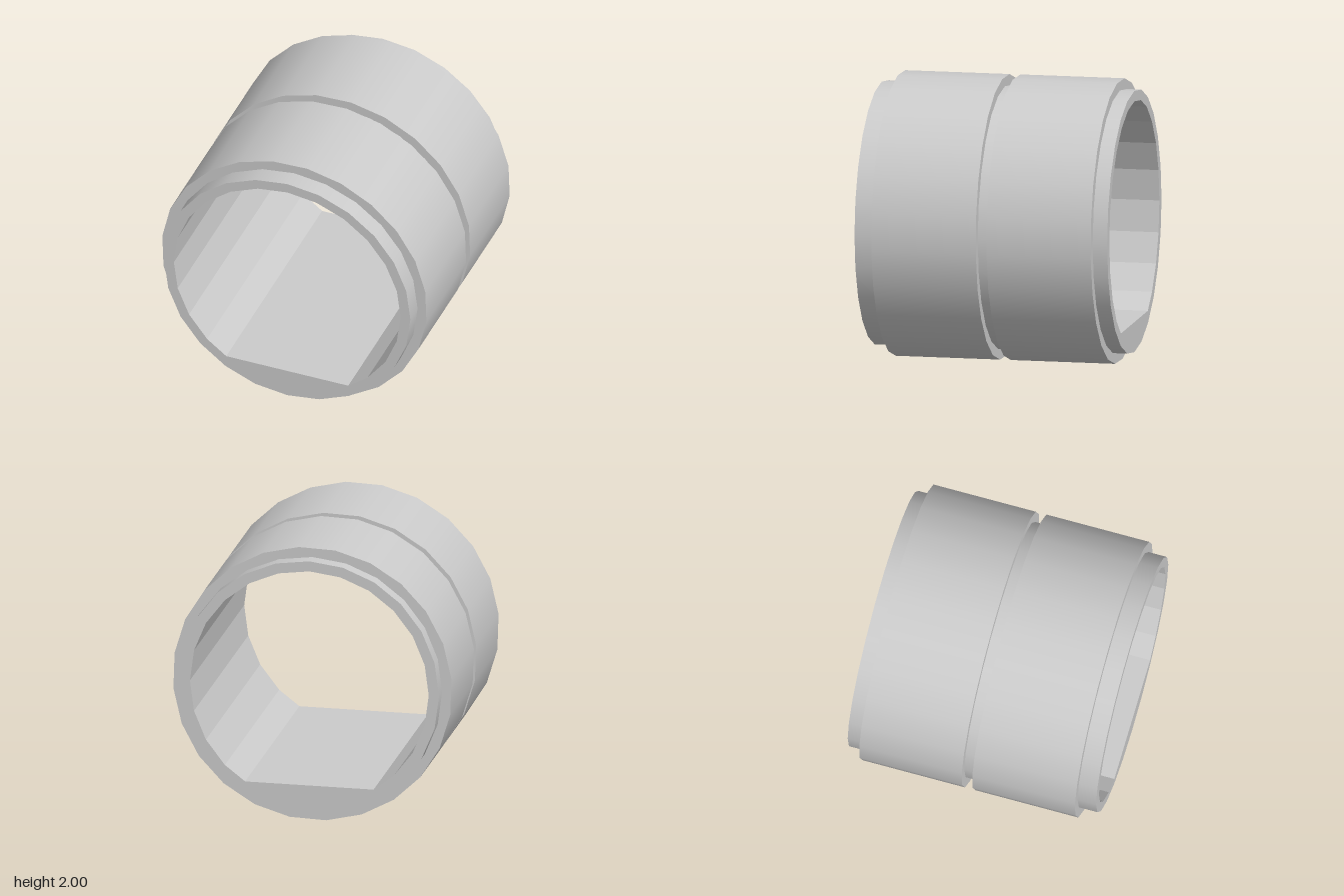
import * as THREE from 'three';

const SIDES = 24;
const CENTRE_Y = 1;
const CORE_R = 0.932;
const BORE_R = 0.858;
const BAND_R = 1.004;
const FLOOR_Y = -0.718; // flat floor of the bore, relative to the axis

// Corner points of a regular polygon, counter-clockwise, turned clockwise from the top by the offset.
function polygon(radius, offsetDeg = 0) {
  return Array.from({ length: SIDES }, (_, i) => {
    const a = (i / SIDES) * Math.PI * 2 - THREE.MathUtils.degToRad(offsetDeg);
    return new THREE.Vector2(-radius * Math.sin(a), radius * Math.cos(a));
  });
}

// Polygon with everything below a horizontal line cut away.
function cutBelow(points, y) {
  const out = [];
  points.forEach((p, i) => {
    const q = points[(i + 1) % points.length];
    if (p.y >= y) out.push(p);
    if ((p.y >= y) !== (q.y >= y)) out.push(p.clone().lerp(q, (y - p.y) / (q.y - p.y)));
  });
  return out;
}

// Extruded ring between z0 and z1: smooth outer wall, faceted bore, crisp end faces.
function ring(name, outer, inner, z0, z1, material) {
  const shape = new THREE.Shape(outer);
  shape.holes.push(new THREE.Path(inner));
  const geometry = new THREE.ExtrudeGeometry(shape, { depth: z1 - z0, bevelEnabled: false });
  const pos = geometry.attributes.position;
  const normal = geometry.attributes.normal;
  const radius = outer[0].length();
  for (let i = 0; i < pos.count; i++) {
    const x = pos.getX(i), y = pos.getY(i), r = Math.hypot(x, y);
    if (Math.abs(normal.getZ(i)) < 0.5 && Math.abs(r - radius) < 1e-3) {
      normal.setXYZ(i, x / r, y / r, 0);
    }
  }
  const mesh = new THREE.Mesh(geometry, material);
  mesh.name = name;
  mesh.position.set(0, CENTRE_Y, z0);
  return mesh;
}

export function createModel() {
  const group = new THREE.Group();
  group.name = 'bandedSleeve';
  const material = new THREE.MeshStandardMaterial({ color: 0xcccccc });

  // Core tube with a flat floor in its bore
  const core = polygon(CORE_R);
  const bore = cutBelow(polygon(BORE_R), FLOOR_Y);
  group.add(ring('coreTube', core, bore, -0.907, 0.907, material));

  // Two raised bands with a narrow groove between them
  const band = polygon(BAND_R, 5.6);
  group.add(ring('frontBand', band, core, 0.022, 0.772, material));
  group.add(ring('backBand', band, core, -0.803, -0.055, material));

  return group;
}
